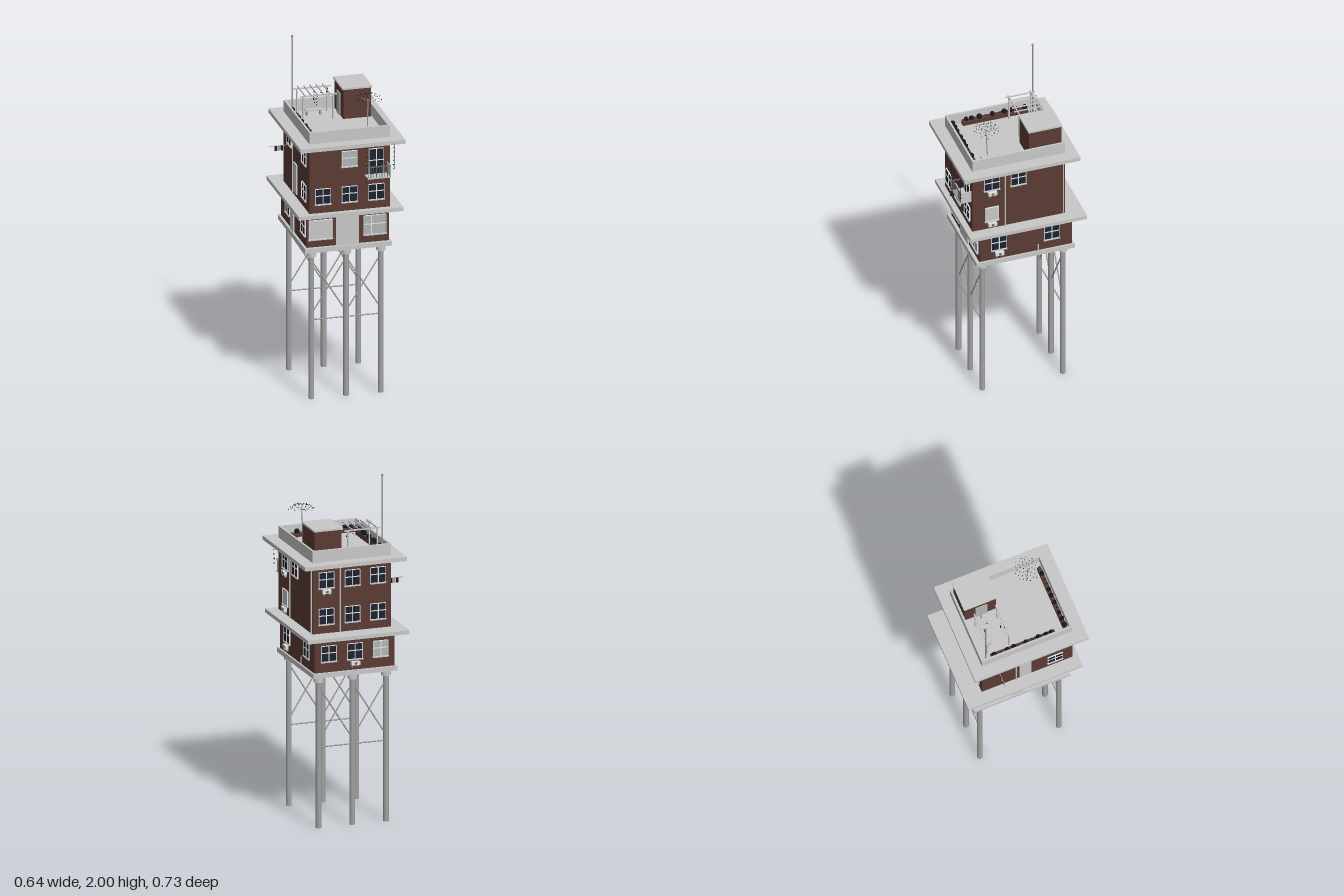
import * as THREE from 'three';

const mat = (name, color, extra = {}) => {
  const m = new THREE.MeshStandardMaterial({ color, ...extra });
  m.name = name;
  return m;
};

export function createModel() {
  const model = new THREE.Group();
  model.name = 'stiltHouse';
  const brick = mat('brick', 0x5a3b33);
  const concrete = mat('concrete', 0xc8c8c8);
  const metal = mat('metal', 0xa2a2a2);
  const iron = mat('darkIron', 0x6e6e6e);
  const glass = mat('darkGlass', 0x1d222f);
  const paleGlass = mat('paleGlass', 0xb0b5b5);
  const trim = mat('paleTrim', 0xe2e4e6);
  const leaf = mat('foliage', 0x15181f, { flatShading: true });

  let seed = 7;
  const rnd = () => (seed = (seed * 16807) % 2147483647) / 2147483647;

  const add = (parent, name, geo, material, x = 0, y = 0, z = 0) => {
    const m = new THREE.Mesh(geo, material);
    m.name = name;
    m.position.set(x, y, z);
    parent.add(m);
    return m;
  };
  // box given by its limits
  const box = (parent, name, material, x0, x1, y0, y1, z0, z1) =>
    add(parent, name, new THREE.BoxGeometry(x1 - x0, y1 - y0, z1 - z0), material,
      (x0 + x1) / 2, (y0 + y1) / 2, (z0 + z1) / 2);
  // round bar between two points
  const bar = (parent, name, material, a, b, r, sides = 8) => {
    const p = new THREE.Vector3(...a), q = new THREE.Vector3(...b);
    const m = add(parent, name, new THREE.CylinderGeometry(r, r, p.distanceTo(q), sides), material);
    m.position.copy(p).add(q).multiplyScalar(0.5);
    m.quaternion.setFromUnitVectors(new THREE.Vector3(0, 1, 0), q.sub(p).normalize());
    return m;
  };
  const group = (name, parent = model) => {
    const g = new THREE.Group();
    g.name = name;
    parent.add(g);
    return g;
  };

  // stilts with collars, cross braces between them
  const stilts = group('stilts');
  const cols = [-0.183, 0.017, 0.217];
  for (const z of [0.215, -0.26]) {
    for (const x of cols) {
      bar(stilts, 'column', metal, [x, 0, z], [x, 0.88, z], 0.016, 16);
      bar(stilts, 'columnCollar', concrete, [x, 0.845, z], [x, 0.88, z], 0.027, 16);
    }
    for (let i = 0; i < 2; i++) {
      bar(stilts, 'brace', metal, [cols[i], 0.82, z], [cols[i + 1], 0.5, z], 0.004);
      bar(stilts, 'brace', metal, [cols[i], 0.5, z], [cols[i + 1], 0.82, z], 0.004);
    }
    bar(stilts, 'tieBar', metal, [cols[0], 0.467, z], [cols[2], 0.467, z], 0.004);
  }

  // slabs and storeys
  box(model, 'baseSlab', concrete, -0.232, 0.268, 0.88, 0.907, -0.313, 0.265);
  box(model, 'lowerStorey', brick, -0.218, 0.257, 0.907, 1.1, -0.3, 0.245);
  box(model, 'middleSlab', concrete, -0.283, 0.32, 1.1, 1.122, -0.368, 0.318);
  box(model, 'upperStorey', brick, -0.213, 0.252, 1.122, 1.512, -0.26, 0.285);
  box(model, 'roofSlab', concrete, -0.283, 0.322, 1.512, 1.535, -0.328, 0.355);
  const parapet = group('parapet');
  box(parapet, 'parapetFront', concrete, -0.213, 0.252, 1.535, 1.603, 0.273, 0.285);
  box(parapet, 'parapetBack', concrete, -0.213, 0.252, 1.535, 1.603, -0.26, -0.248);
  box(parapet, 'parapetLeft', concrete, 0.24, 0.252, 1.535, 1.603, -0.248, 0.273);
  box(parapet, 'parapetRight', concrete, -0.213, -0.201, 1.535, 1.603, -0.248, 0.273);

  // wall groups: local x runs along the wall, local z points outwards
  const wall = (name, x, z, turn) => {
    const g = group(name);
    g.position.set(x, 0, z);
    g.rotation.y = turn;
    return g;
  };
  const windowAt = (g, u, y, w = 0.088, h = 0.09, pane = glass, bars = 1) => {
    const win = group('window', g);
    win.position.set(u, y, 0);
    box(win, 'pane', pane, -w / 2, w / 2, -h / 2, h / 2, 0, 0.004);
    for (const s of [-1, 1]) {
      box(win, 'frameSide', trim, s * w / 2 - 0.0015, s * w / 2 + 0.0015, -h / 2, h / 2, 0, 0.007);
      box(win, 'frameRail', trim, -w / 2, w / 2, s * h / 2 - 0.0015, s * h / 2 + 0.0015, 0, 0.007);
    }
    for (let i = 1; i <= bars; i++) {
      const c = -w / 2 + w * i / (bars + 1);
      box(win, 'mullion', trim, c - 0.0025, c + 0.0025, -h / 2, h / 2, 0, 0.007);
    }
    if (bars) box(win, 'crossbar', trim, -w / 2, w / 2, h * 0.05 - 0.0025, h * 0.05 + 0.0025, 0, 0.007);
    box(win, 'sill', concrete, -w / 2 - 0.004, w / 2 + 0.004, -h / 2 - 0.006, -h / 2, 0, 0.01);
  };
  const airUnit = (g, u, y) => {
    const unit = group('airUnit', g);
    unit.position.set(u, y, 0);
    box(unit, 'airUnitCase', trim, -0.025, 0.025, -0.004, 0.018, 0.002, 0.02);
    add(unit, 'airUnitFan', new THREE.CylinderGeometry(0.008, 0.008, 0.004, 12), iron, 0, 0.007, 0.02)
      .rotation.x = Math.PI / 2;
    for (const s of [-0.018, 0.018]) box(unit, 'bracket', metal, s - 0.002, s + 0.002, -0.016, -0.004, 0, 0.016);
  };
  const pipe = (g, u, y0, y1) => bar(g, 'drainPipe', concrete, [u, y0, 0.005], [u, y1, 0.005], 0.004);

  // front
  const frontUp = wall('frontUpperWall', 0, 0.285, 0);
  for (const x of [-0.135, 0.017, 0.172]) windowAt(frontUp, x, 1.22);
  windowAt(frontUp, 0.017, 1.43, 0.088, 0.09, paleGlass);
  windowAt(frontUp, 0.172, 1.4, 0.085, 0.15);
  const frontLow = wall('frontLowerWall', 0, 0.245, 0);
  windowAt(frontLow, -0.138, 1.01, 0.135, 0.112, concrete, 0);
  windowAt(frontLow, 0.174, 1.01, 0.128, 0.112, paleGlass, 2);
  box(frontLow, 'entranceDoor', concrete, -0.05, 0.08, 0.907, 1.075, 0, 0.008);

  // left side (+x)
  const leftUp = wall('leftUpperWall', 0.252, 0, Math.PI / 2);
  windowAt(leftUp, -0.17, 1.43);
  windowAt(leftUp, -0.015, 1.43);
  windowAt(leftUp, -0.17, 1.22, 0.078, 0.09, concrete, 0);
  airUnit(leftUp, -0.17, 1.358);
  airUnit(leftUp, -0.17, 1.148);
  pipe(leftUp, -0.092, 1.122, 1.512);
  pipe(leftUp, 0.25, 1.122, 1.512);
  bar(leftUp, 'gutterPipe', concrete, [-0.092, 1.505, 0.005], [0.25, 1.505, 0.005], 0.004);
  const leftLow = wall('leftLowerWall', 0.257, 0, Math.PI / 2);
  windowAt(leftLow, -0.13, 1.015);
  windowAt(leftLow, 0.18, 1.015);
  airUnit(leftLow, -0.13, 0.94);
  pipe(leftLow, 0.1, 0.907, 0.95);

  // back
  const backUp = wall('backUpperWall', 0, -0.26, Math.PI);
  const backLow = wall('backLowerWall', 0, -0.3, Math.PI);
  for (const x of [0.172, 0.017, -0.135]) {
    windowAt(backUp, -x, 1.43);
    windowAt(backUp, -x, 1.22);
  }
  windowAt(backLow, -0.172, 1.015);
  windowAt(backLow, -0.017, 1.015);
  windowAt(backLow, 0.135, 1.015, 0.088, 0.09, paleGlass);
  airUnit(backUp, -0.172, 1.358);
  airUnit(backLow, -0.017, 0.94);
  pipe(backUp, -0.09, 1.122, 1.512);

  // right side (-x)
  const rightUp = wall('rightUpperWall', -0.213, 0, -Math.PI / 2);
  windowAt(rightUp, -0.13, 1.43);
  windowAt(rightUp, 0.18, 1.43);
  windowAt(rightUp, 0.18, 1.22);
  box(rightUp, 'sideDoor', concrete, -0.035, 0.035, 1.145, 1.32, 0, 0.008);
  pipe(rightUp, -0.055, 1.122, 1.512);
  const rightLow = wall('rightLowerWall', -0.218, 0, -Math.PI / 2);
  windowAt(rightLow, -0.15, 1.015);
  windowAt(rightLow, 0.18, 1.015);
  box(rightLow, 'lowerSideDoor', concrete, -0.075, -0.015, 0.907, 1.06, 0, 0.008);
  // drying pole with cloths
  bar(rightUp, 'dryingPole', metal, [-0.162, 1.372, 0], [-0.162, 1.372, 0.108], 0.002);
  for (let i = 0; i < 3; i++)
    box(rightUp, 'cloth', i === 1 ? metal : leaf, -0.164, -0.16, 1.343, 1.37, 0.03 + i * 0.018, 0.043 + i * 0.018);

  // balcony
  const balcony = group('balcony');
  box(balcony, 'balconyFloor', concrete, 0.105, 0.238, 1.318, 1.326, 0.285, 0.352);
  box(balcony, 'balconyRail', iron, 0.105, 0.238, 1.386, 1.392, 0.346, 0.352);
  for (let i = 0; i <= 8; i++) {
    const x = 0.108 + i * 0.0159;
    bar(balcony, 'baluster', iron, [x, 1.326, 0.349], [x, 1.388, 0.349], 0.002, 6);
  }
  box(balcony, 'balconySide', concrete, 0.234, 0.238, 1.326, 1.39, 0.285, 0.346);
  box(balcony, 'balconySideRail', iron, 0.105, 0.109, 1.386, 1.392, 0.285, 0.346);

  // leaves
  const leafGeo = new THREE.OctahedronGeometry(1, 0);
  const leafAt = (g, name, x, y, z, r) => {
    const m = add(g, name, leafGeo, leaf, x, y, z);
    m.scale.set(r, r * 0.6, r * 0.8);
    m.rotation.set(rnd() * 3, rnd() * 3, rnd() * 3);
  };
  // vines hanging off the roof edge
  const vines = group('vines');
  for (const [x, low] of [[0.097, 1.28], [0.256, 1.37]]) {
    bar(vines, 'vineStem', leaf, [x, low, 0.355], [x, 1.52, 0.355], 0.001, 5);
    for (let y = low; y < 1.51; y += 0.025)
      leafAt(vines, 'vineLeaf', x + (rnd() - 0.5) * 0.01, y, 0.354 + (rnd() - 0.5) * 0.008, 0.006);
  }

  // stair head on the roof
  const head = group('stairHead');
  box(head, 'stairHeadWalls', brick, 0.075, 0.235, 1.535, 1.708, -0.245, -0.055);
  box(head, 'stairHeadRoof', concrete, 0.068, 0.241, 1.708, 1.718, -0.25, -0.05);
  box(head, 'stairHeadDoor', paleGlass, 0.069, 0.075, 1.535, 1.665, -0.18, -0.11);

  // planters with bushes
  const planters = group('planters');
  box(planters, 'sidePlanter', brick, -0.199, -0.171, 1.535, 1.562, -0.192, 0.192);
  box(planters, 'frontPlanter', brick, -0.187, 0.2, 1.535, 1.562, 0.242, 0.266);
  const bushGeo = new THREE.IcosahedronGeometry(0.013, 1);
  const bush = (x, z) => {
    const m = add(planters, 'bush', bushGeo, leaf, x, 1.571, z);
    m.scale.set(0.95 + rnd() * 0.3, 1 + rnd() * 0.3, 0.95 + rnd() * 0.3);
    m.rotation.y = rnd() * 6;
  };
  for (const z of [-0.175, -0.095, -0.055, 0.015, 0.092, 0.138, 0.17]) bush(-0.184, z);
  for (const x of [-0.17, -0.132, -0.093, -0.028, 0.017, 0.055, 0.155]) bush(x, 0.254);
  for (const z of [-0.135, -0.03, 0.055]) leafAt(planters, 'sprout', -0.187, 1.568, z, 0.008);
  for (const x of [-0.06, 0.09, 0.118]) leafAt(planters, 'sprout', x, 1.568, 0.254, 0.008);

  // pergola with bench and hanging leaves
  const pergola = group('pergola');
  for (const z of [-0.202, -0.072]) {
    box(pergola, 'beam', concrete, -0.17, 0.042, 1.68, 1.688, z - 0.003, z + 0.003);
    for (const x of [-0.153, 0.02]) box(pergola, 'post', concrete, x - 0.004, x + 0.004, 1.535, 1.68, z - 0.004, z + 0.004);
  }
  for (const x of [-0.144, -0.108, -0.072, -0.037, -0.001])
    box(pergola, 'rafter', concrete, x - 0.002, x + 0.002, 1.688, 1.695, -0.222, -0.05);
  box(pergola, 'benchSeat', concrete, -0.114, -0.018, 1.56, 1.568, -0.185, -0.155);
  for (const x of [-0.105, -0.028]) box(pergola, 'benchLeg', metal, x - 0.004, x + 0.004, 1.535, 1.56, -0.182, -0.158);
  for (const [x, z] of [[-0.06, -0.18], [-0.028, -0.153], [0.015, -0.17], [-0.068, -0.087], [-0.088, -0.072]]) {
    const low = 1.62 + rnd() * 0.03;
    for (let y = low; y < 1.68; y += 0.018) leafAt(pergola, 'hangingLeaf', x + (rnd() - 0.5) * 0.008, y, z, 0.006);
  }

  // sparse tree in a round tub
  const tree = group('tree');
  const tx = 0.155, tz = 0.165;
  add(tree, 'tub', new THREE.CylinderGeometry(0.045, 0.04, 0.016, 12), concrete, 0.15, 1.543, 0.16);
  bar(tree, 'trunk', metal, [tx, 1.545, tz - 0.003], [tx, 1.725, tz + 0.006], 0.003);
  for (let i = 0; i < 7; i++) {
    const a = i * 0.9, r = 0.035 + rnd() * 0.025;
    bar(tree, 'branch', metal, [tx, 1.715, tz + 0.005], [tx + r * Math.cos(a), 1.737, tz + r * Math.sin(a)], 0.0008, 5);
  }
  for (let i = 0; i < 44; i++) {
    const r = 0.075 * Math.sqrt((i + 0.5) / 44), a = i * 2.4;
    leafAt(tree, 'treeLeaf', tx + 0.004 + r * Math.cos(a), 1.753 - 5 * r * r + (rnd() - 0.5) * 0.01, tz + r * Math.sin(a), 0.0042);
  }

  // mast
  const mast = group('mast');
  bar(mast, 'mastPole', metal, [-0.175, 1.535, -0.22], [-0.175, 1.992, -0.22], 0.004);
  add(mast, 'mastBall', new THREE.SphereGeometry(0.007, 12, 8), metal, -0.175, 1.993, -0.22);

  return model;
}
